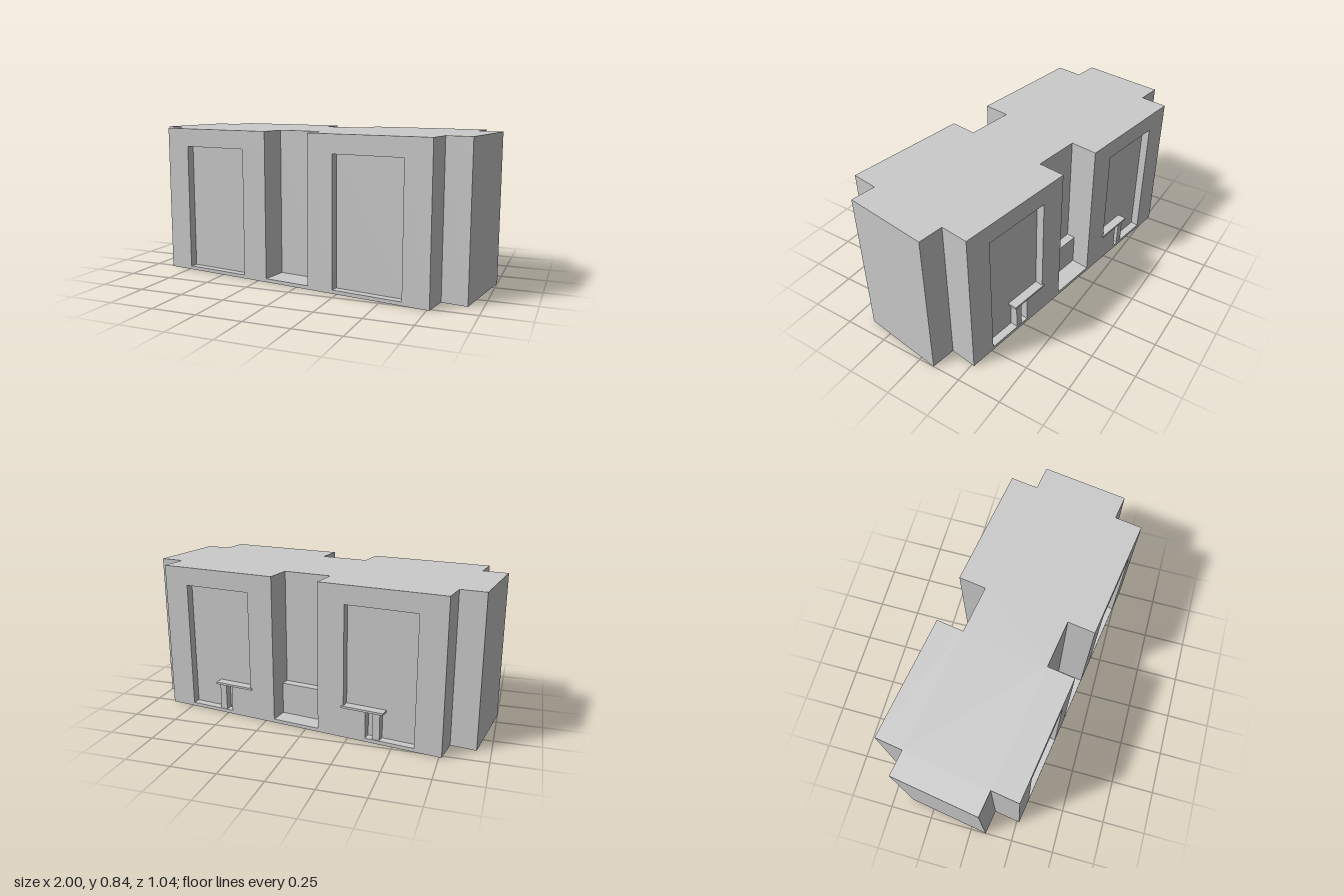
import * as THREE from 'three';

// Plan half-sizes: main block (U1, V1) and narrower end bays (U2, V2)
const U1 = 0.834, U2 = 0.974, V1 = 0.397, V2 = 0.242;
const BASE = 0.02, HEAD = 0.735, TOP = 0.838;
const NOTCH = 0.137;                    // half-width of the central notches
const WIN0 = 0.288, WIN1 = 0.687;       // window extent along the wall
const RECESS = V1 - 0.045;              // back plane of the window recesses

const material = new THREE.MeshStandardMaterial({ color: 0xcccccc, flatShading: true });

function mesh(name, geometry) {
  const m = new THREE.Mesh(geometry, material);
  m.name = name;
  return m;
}

// Horizontal layer of the building, optionally with notches and window recesses
function layer(name, y0, y1, notches, windows) {
  const half = [[-U2, V2], [-U1, V2], [-U1, V1]];
  const cut = (a, b, v) => half.push([a, V1], [a, v], [b, v], [b, V1]);
  if (windows) cut(-WIN1, -WIN0, RECESS);
  if (notches) cut(-NOTCH, NOTCH, V2);
  if (windows) cut(WIN0, WIN1, RECESS);
  half.push([U1, V1], [U1, V2], [U2, V2]);
  // The far side is the same edge turned half way round
  const points = [...half, ...half.map(([u, v]) => [-u, -v])];
  const shape = new THREE.Shape(points.map(([u, v]) => new THREE.Vector2(u, -v)));
  const geometry = new THREE.ExtrudeGeometry(shape, { depth: y1 - y0, bevelEnabled: false });
  geometry.rotateX(-Math.PI / 2).translate(0, y0, 0);
  return mesh(name, geometry);
}

// Box given by its limits on each axis
function box(name, x0, x1, y0, y1, z0, z1) {
  const geometry = new THREE.BoxGeometry(x1 - x0, y1 - y0, z1 - z0);
  geometry.translate((x0 + x1) / 2, (y0 + y1) / 2, (z0 + z1) / 2);
  return mesh(name, geometry);
}

export function createModel() {
  const building = new THREE.Group();
  building.name = 'building';

  building.add(
    layer('floorSlab', 0, BASE, false, false),
    layer('walls', BASE, HEAD, true, true),
    layer('roofBand', HEAD, TOP, true, false),
    // Low step inside the rear notch
    box('rearNotchStep', -NOTCH, NOTCH, BASE, 0.2, -0.292, -V2),
  );

  // Counter with wall infill and post in each rear window, mirrored
  for (const s of [-1, 1]) {
    const counter = new THREE.Group();
    counter.name = s > 0 ? 'leftCounter' : 'rightCounter';
    const part = (name, a, b, ...rest) =>
      counter.add(box(name, Math.min(s * a, s * b), Math.max(s * a, s * b), ...rest));
    part('counterTop', 0.277, 0.515, 0.17, 0.182, -0.404, -RECESS);
    part('counterInfill', WIN0, 0.415, BASE, 0.17, -V1, -RECESS);
    part('counterPost', 0.455, 0.495, BASE, 0.17, -0.393, -RECESS);
    building.add(counter);
  }

  // The whole building stands slightly turned
  building.rotation.y = -0.1535;

  const model = new THREE.Group();
  model.name = 'model';
  model.add(building);
  return model;
}
